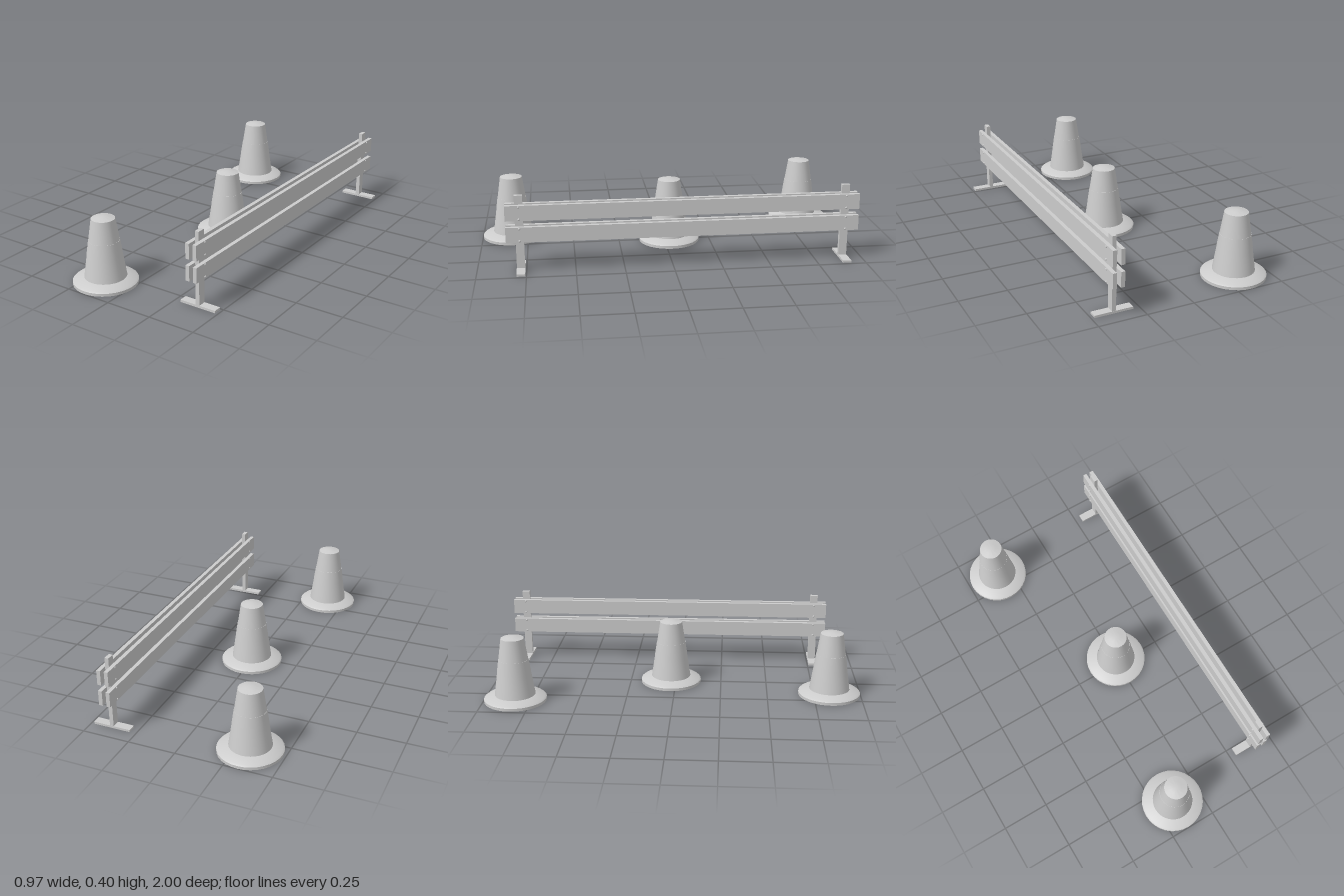
import * as THREE from 'three';
import { toCreasedNormals } from 'three/addons/utils/BufferGeometryUtils.js';

const material = new THREE.MeshStandardMaterial({ color: 0xcccccc });

function add(parent, name, geometry, x = 0, y = 0, z = 0) {
  const mesh = new THREE.Mesh(geometry, material);
  mesh.name = name;
  mesh.position.set(x, y, z);
  parent.add(mesh);
  return mesh;
}

function lathe(points, crease = 0.6) {
  const profile = points.map(([r, y]) => new THREE.Vector2(r, y));
  return toCreasedNormals(new THREE.LatheGeometry(profile, 32), crease);
}

function createCone(x, z) {
  const cone = new THREE.Group();
  cone.name = 'trafficCone';
  cone.position.set(x, 0, z);
  // Wide foot with a sloping rim
  add(cone, 'coneBase', lathe([[0, 0], [0.165, 0], [0.165, 0.015], [0.156, 0.022], [0.107, 0.035]], 0.9));
  // Tapered body with a slightly raised sleeve and a shallow pointed cap
  add(cone, 'coneBody', lathe([
    [0.107, 0.034], [0.088, 0.16], [0.089, 0.16], [0.0785, 0.23],
    [0.0775, 0.23], [0.06, 0.345], [0.03, 0.352], [0, 0.357],
  ]));
  return cone;
}

function createBarrier() {
  const barrier = new THREE.Group();
  barrier.name = 'barrier';
  barrier.position.x = 0.384;
  const postZ = [0.778, -0.902];
  const boardY = [0.195, 0.309];
  const boltGeometry = new THREE.SphereGeometry(0.006, 10, 8);
  boltGeometry.scale(0.8, 1, 1);

  // Uprights on flat feet
  for (const z of postZ) {
    add(barrier, 'foot', new THREE.BoxGeometry(0.2, 0.012, 0.044), 0, 0.006, z);
    add(barrier, 'post', new THREE.BoxGeometry(0.021, 0.385, 0.042), 0, 0.2035, z);
  }

  // Paired boards on both faces, fixed with bolts at each post
  for (const side of [-1, 1]) {
    for (const y of boardY) {
      add(barrier, 'board', new THREE.BoxGeometry(0.0205, 0.08, 1.82), side * 0.0207, y, -0.062);
      for (const z of postZ) {
        for (const dy of [-0.032, 0.032]) {
          add(barrier, 'bolt', boltGeometry, side * 0.031, y + dy, z);
        }
      }
    }
  }
  return barrier;
}

export function createModel() {
  const model = new THREE.Group();
  model.name = 'roadBarrierWithCones';
  for (const [x, z] of [[-0.323, -0.835], [0.004, -0.027], [-0.152, 0.833]]) {
    model.add(createCone(x, z));
  }
  model.add(createBarrier());
  return model;
}
